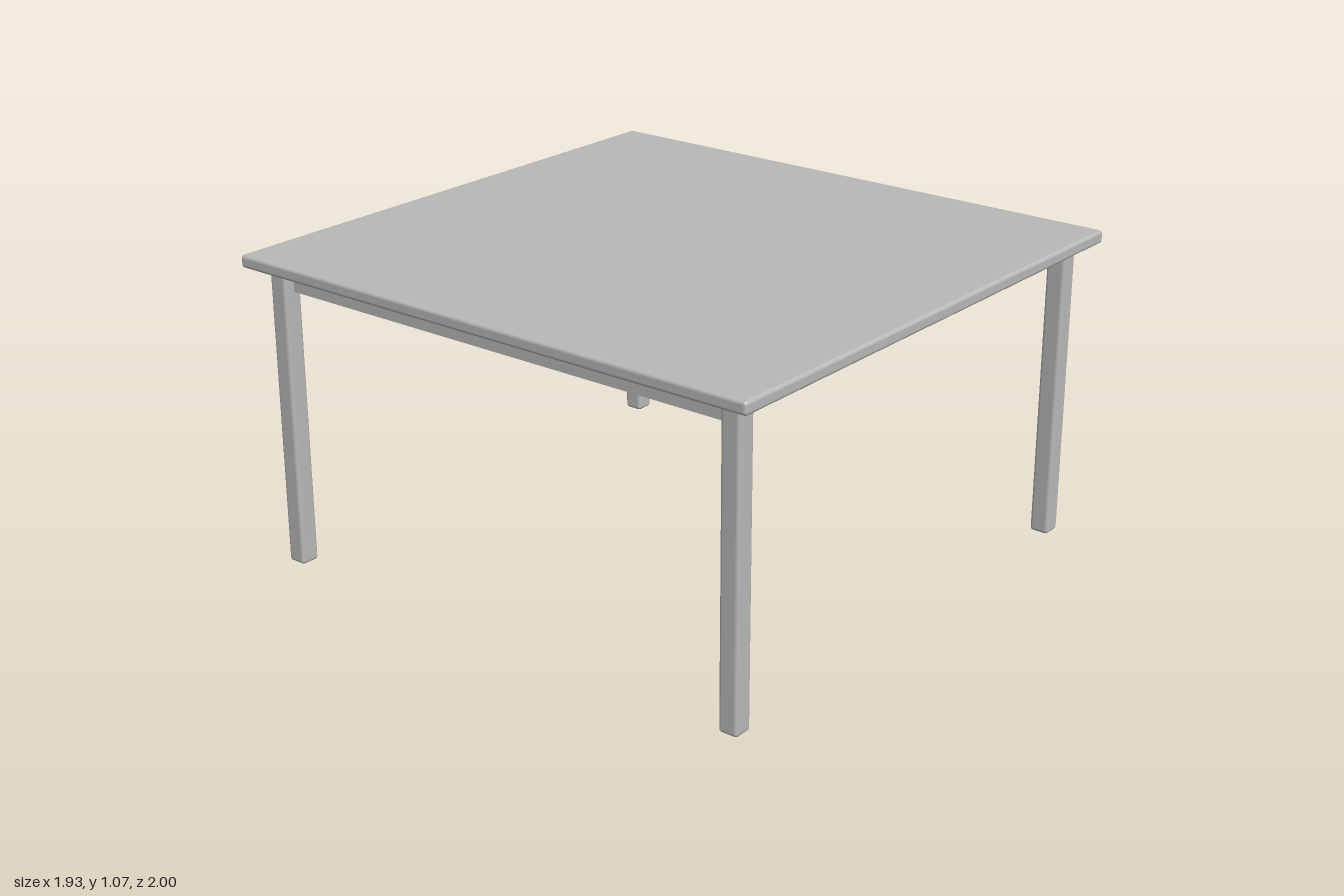
import * as THREE from 'three';
import { RoundedBoxGeometry } from 'three/addons/geometries/RoundedBoxGeometry.js';

export function createModel() {
  const table = new THREE.Group();
  table.name = 'table';
  const grey = new THREE.MeshStandardMaterial({ color: 0xb8b8b8 });
  grey.name = 'grey';

  const add = (name, geometry, x, y, z) => {
    const mesh = new THREE.Mesh(geometry, grey);
    mesh.name = name;
    mesh.position.set(x, y, z);
    table.add(mesh);
  };

  const topY = 1.07, underY = 1.026;
  const legX = 0.872, legZ = 0.901, legSize = 0.068;
  const apronT = 0.03;
  const innerX = legX - legSize / 2, innerZ = legZ - legSize / 2;

  // Softly rounded square top
  add('tableTop', new RoundedBoxGeometry(1.93, topY - underY, 2, 3, 0.012), 0, (topY + underY) / 2, 0);

  // Four square legs with eased edges
  const legGeometry = new RoundedBoxGeometry(legSize, underY, legSize, 3, 0.012);
  for (const sx of [1, -1]) {
    for (const sz of [1, -1]) {
      add(`${sz > 0 ? 'front' : 'back'}${sx > 0 ? 'Left' : 'Right'}Leg`, legGeometry, sx * legX, underY / 2, sz * legZ);
    }
  }

  // Aprons, flush with the inner leg faces; the side pair is deeper
  const endH = 0.06, sideH = 0.078;
  const endGeometry = new THREE.BoxGeometry(2 * legX, endH, apronT);
  const sideGeometry = new THREE.BoxGeometry(apronT, sideH, 2 * legZ);
  for (const s of [1, -1]) {
    add(s > 0 ? 'frontApron' : 'backApron', endGeometry, 0, underY - endH / 2, s * (innerZ + apronT / 2));
    add(s > 0 ? 'leftApron' : 'rightApron', sideGeometry, s * (innerX + apronT / 2), underY - sideH / 2, 0);
  }
  return table;
}
